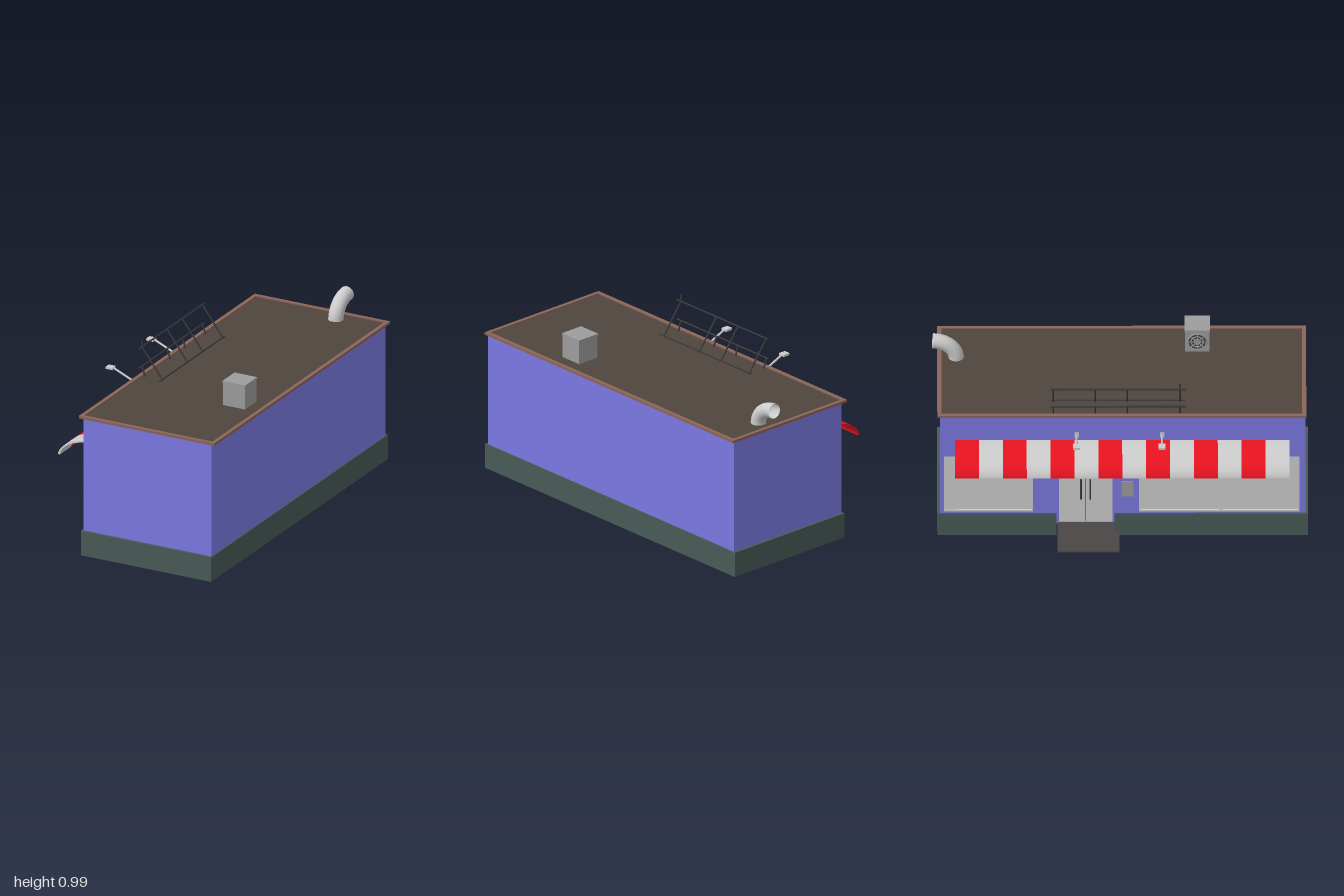
import * as THREE from 'three';

const mat = (color, side = THREE.FrontSide) => new THREE.MeshStandardMaterial({ color, side });
const M = {
  wall: mat(0x7b78e2), base: mat(0x485a57), brown: mat(0x8a6458), roof: mat(0x4e453e),
  grey: mat(0xcccccc), greyOpen: mat(0xcccccc, THREE.DoubleSide), unit: mat(0x9c9c9c),
  red: mat(0xe81220), dark: mat(0x3c3a3a), mat: mat(0x4a4646),
};

export function createModel() {
  const root = new THREE.Group();

  const add = (name, geometry, material, parent = root) => {
    const mesh = new THREE.Mesh(geometry, material);
    mesh.name = name;
    parent.add(mesh);
    return mesh;
  };
  // Box given by its limits on each axis
  const box = (name, material, x0, x1, y0, y1, z0, z1, parent = root) => {
    const m = add(name, new THREE.BoxGeometry(x1 - x0, y1 - y0, z1 - z0), material, parent);
    m.position.set((x0 + x1) / 2, (y0 + y1) / 2, (z0 + z1) / 2);
    return m;
  };
  // Round bar between two points
  const bar = (name, material, a, b, r, parent = root) => {
    const p = new THREE.Vector3(...a), q = new THREE.Vector3(...b);
    const m = add(name, new THREE.CylinderGeometry(r, r, p.distanceTo(q), 8), material, parent);
    m.position.copy(p).add(q).multiplyScalar(0.5);
    m.quaternion.setFromUnitVectors(new THREE.Vector3(0, 1, 0), q.sub(p).normalize());
    return m;
  };
  const group = (name) => {
    const g = new THREE.Group();
    g.name = name;
    root.add(g);
    return g;
  };
  const rect = (path, a0, a1, b0, b1) => {
    path.moveTo(a0, b0); path.lineTo(a1, b0); path.lineTo(a1, b1); path.lineTo(a0, b1);
    path.closePath();
    return path;
  };
  // Extrude a (z, y) outline along -x, ending at outer face x
  const extrudeX = (shape, xOuter, depth) => {
    const g = new THREE.ExtrudeGeometry(shape, { depth, bevelEnabled: false, curveSegments: 24 });
    return g.rotateY(-Math.PI / 2).translate(xOuter + depth, 0, 0);
  };

  const T = 0.012;
  const X0 = -0.265, X1 = 0.51, Z0 = -0.96, Z1 = 0.985;
  const door = { z0: -0.34, z1: -0.03, top: 0.5, x: -0.175 };
  const windows = [
    { z0: -0.94, z1: -0.465, mullions: [] },
    { z0: 0.1, z1: 0.955, mullions: [0.535] },
  ];
  const wy0 = 0.15, wy1 = 0.51;

  // Hollow walls; the shop front has openings
  const walls = group('walls');
  box('sideWall', M.wall, X1 - T, X1, 0.13, 0.785, Z0, Z1, walls);
  box('frontWall', M.wall, X0 + T, X1 - T, 0.13, 0.785, Z1 - T, Z1, walls);
  box('backWall', M.wall, X0 + T, X1 - T, 0.13, 0.785, Z0, Z0 + T, walls);
  const facade = new THREE.Shape();
  [[Z0, 0.13], [door.z0, 0.13], [door.z0, door.top], [door.z1, door.top], [door.z1, 0.13], [Z1, 0.13],
    [Z1, 0.785], [Z0, 0.785]].forEach(([z, y], i) => (i ? facade.lineTo(z, y) : facade.moveTo(z, y)));
  windows.forEach((w) => facade.holes.push(rect(new THREE.Path(), w.z0, w.z1, wy0, wy1)));
  add('shopFrontWall', extrudeX(facade, X0, T), M.wall, walls);

  // Plinth around the foot, interrupted at the door
  const plinth = group('plinth');
  const bx0 = -0.272, bx1 = 0.517, bz0 = -0.975, bz1 = 1.0, bt = 0.02;
  box('plinthSide', M.base, bx1 - bt, bx1, 0, 0.14, bz0, bz1, plinth);
  box('plinthFront', M.base, bx0 + bt, bx1 - bt, 0, 0.14, bz1 - bt, bz1, plinth);
  box('plinthBack', M.base, bx0 + bt, bx1 - bt, 0, 0.14, bz0, bz0 + bt, plinth);
  box('plinthShopLeft', M.base, bx0, bx0 + bt, 0, 0.14, bz0, door.z0, plinth);
  box('plinthShopRight', M.base, bx0, bx0 + bt, 0, 0.14, door.z1, bz1, plinth);

  // Windows with slim frames
  windows.forEach((w) => {
    const g = group('shopWindow');
    box('pane', M.grey, X0 + 0.005, X0 + 0.009, wy0, wy1, w.z0, w.z1, g);
    const frame = rect(new THREE.Shape(), w.z0, w.z1, wy0, wy1);
    const cuts = [w.z0, ...w.mullions, w.z1];
    for (let i = 0; i + 1 < cuts.length; i++)
      frame.holes.push(rect(new THREE.Path(), cuts[i] + 0.008, cuts[i + 1] - 0.008, wy0 + 0.01, wy1 - 0.01));
    add('windowFrame', extrudeX(frame, X0 - 0.001, T + 0.002), M.grey, g);
  });
  box('noticeBoard', M.unit, X0 - 0.006, X0, 0.25, 0.35, 0.005, 0.07);

  // Recessed double door
  const entry = group('entrance');
  for (const z of [door.z0 - T, door.z1]) {
    box('recessWall', M.wall, X0 + T, door.x, 0.14, door.top, z, z + T, entry);
    box('recessPlinth', M.base, bx0 + bt, door.x, 0, 0.14, z, z + T, entry);
  }
  box('recessCeiling', M.wall, X0 + T, door.x, door.top, door.top + T, door.z0 - T, door.z1 + T, entry);
  const jamb = rect(new THREE.Shape(), door.z0 - T, door.z1 + T, 0.01, door.top + T);
  jamb.holes.push(rect(new THREE.Path(), door.z0 + 0.012, door.z1 - 0.012, 0.02, door.top - 0.012));
  add('doorFrame', extrudeX(jamb, door.x - 0.006, 0.014), M.wall, entry);
  const mid = (door.z0 + door.z1) / 2;
  for (const s of [-1, 1]) {
    const a = mid + s * 0.001, b = mid + s * 0.143;
    box('doorLeaf', M.grey, door.x - 0.003, door.x + 0.006, 0.02, door.top - 0.012, Math.min(a, b), Math.max(a, b), entry);
    const hz = mid + s * 0.025, hx = door.x - 0.022;
    bar('doorHandle', M.dark, [hx, 0.18, hz], [hx, 0.31, hz], 0.005, entry);
    for (const y of [0.2, 0.29])
      bar('handleBolt', M.dark, [hx, y, hz], [door.x + 0.009, y, hz], 0.004, entry);
  }

  // Sloping door mat
  const ramp = new THREE.Shape();
  [[-0.44, 0.005], [door.x, 0.005], [door.x, 0.02], [-0.27, 0.019], [-0.44, 0.012]]
    .forEach(([x, y], i) => (i ? ramp.lineTo(x, y) : ramp.moveTo(x, y)));
  add('doorMat', new THREE.ExtrudeGeometry(ramp, { depth: 0.33, bevelEnabled: false }), M.mat).position.z = -0.335;

  // Roof slab with raised rim
  box('roofDeck', M.roof, -0.275, 0.515, 0.779, 0.788, -0.96, 0.975);
  const rim = rect(new THREE.Shape(), -0.29, 0.53, -0.99, 0.975);
  rim.holes.push(rect(new THREE.Path(), -0.268, 0.508, -0.968, 0.953));
  add('roofRim', new THREE.ExtrudeGeometry(rim, { depth: 0.014, bevelEnabled: false })
    .rotateX(-Math.PI / 2).translate(0, 0.78, 0), M.brown);

  // Striped curved awning: quarter-ellipse section repeated along z
  const awning = group('awning');
  const section = new THREE.Shape();
  section.absellipse(-0.25, 0.5, 0.216, 0.119, Math.PI / 2, Math.PI * 0.975, false);
  section.absellipse(-0.25, 0.5, 0.204, 0.109, Math.PI * 0.975, Math.PI / 2, true);
  const stripe = 1.78 / 14;
  for (let i = 0; i < 14; i++) {
    const g = new THREE.ExtrudeGeometry(section, { depth: stripe, bevelEnabled: false, curveSegments: 20 });
    add('awningStripe', g, i % 2 ? M.grey : M.red, awning).position.z = -0.88 + i * stripe;
  }

  // Lamps on slanted arms above the awning
  for (const z of [-0.233, 0.222]) {
    const g = group('signLamp');
    bar('lampArm', M.grey, [-0.262, 0.653, z], [-0.495, 0.755, z], 0.006, g);
    box('lampHead', M.grey, -0.535, -0.493, 0.749, 0.761, z - 0.019, z + 0.019, g);
    box('lampFoot', M.grey, X0 - 0.006, X0, 0.64, 0.668, z - 0.012, z + 0.012, g);
  }

  // Leaning frame at the roof edge
  const rack = group('roofFrame');
  const r = 0.0045;
  for (const [x, y] of [[-0.272, 0.955], [-0.272, 0.843], [-0.146, 0.793]])
    bar('rail', M.dark, [x, y, -0.372], [x, y, 0.35], r, rack);
  for (const z of [-0.357, -0.133, 0.037, 0.318]) {
    bar('longStrut', M.dark, [-0.146, 0.786, z], [-0.272, 0.955, z], r, rack);
    bar('shortStrut', M.dark, [-0.253, 0.786, z], [-0.272, 0.845, z], r, rack);
  }
  bar('post', M.dark, [-0.272, 0.95, 0.318], [-0.272, 0.993, 0.318], r, rack);

  // Ventilation unit with a round grille
  const unit = group('ventilationUnit');
  box('unitBody', M.unit, 0.305, 0.437, 0.785, 0.918, 0.345, 0.475, unit);
  box('unitLid', M.unit, 0.302, 0.44, 0.915, 0.927, 0.342, 0.478, unit);
  const fan = new THREE.Group();
  fan.name = 'fanGrille';
  fan.position.set(0.302, 0.853, 0.41);
  fan.rotation.y = -Math.PI / 2;
  unit.add(fan);
  add('fanBack', new THREE.CircleGeometry(0.05, 32), M.dark, fan);
  for (const R of [0.016, 0.033, 0.05])
    add('grilleRing', new THREE.TorusGeometry(R, 0.004, 6, 32), M.unit, fan);
  for (let i = 0; i < 4; i++) {
    const spoke = add('grilleSpoke', new THREE.BoxGeometry(0.1, 0.005, 0.005), M.unit, fan);
    spoke.rotation.z = (i * Math.PI) / 4;
  }

  // Open bent exhaust pipe
  const bend = new THREE.CatmullRomCurve3(Array.from({ length: 9 }, (_, i) => {
    const a = (i / 8) * Math.PI / 2;
    return new THREE.Vector3(0.256, 0.785 + 0.109 * Math.sin(a), -1 + 0.126 * Math.cos(a));
  }));
  add('exhaustPipe', new THREE.TubeGeometry(bend, 20, 0.041, 24), M.greyOpen);

  return root;
}
